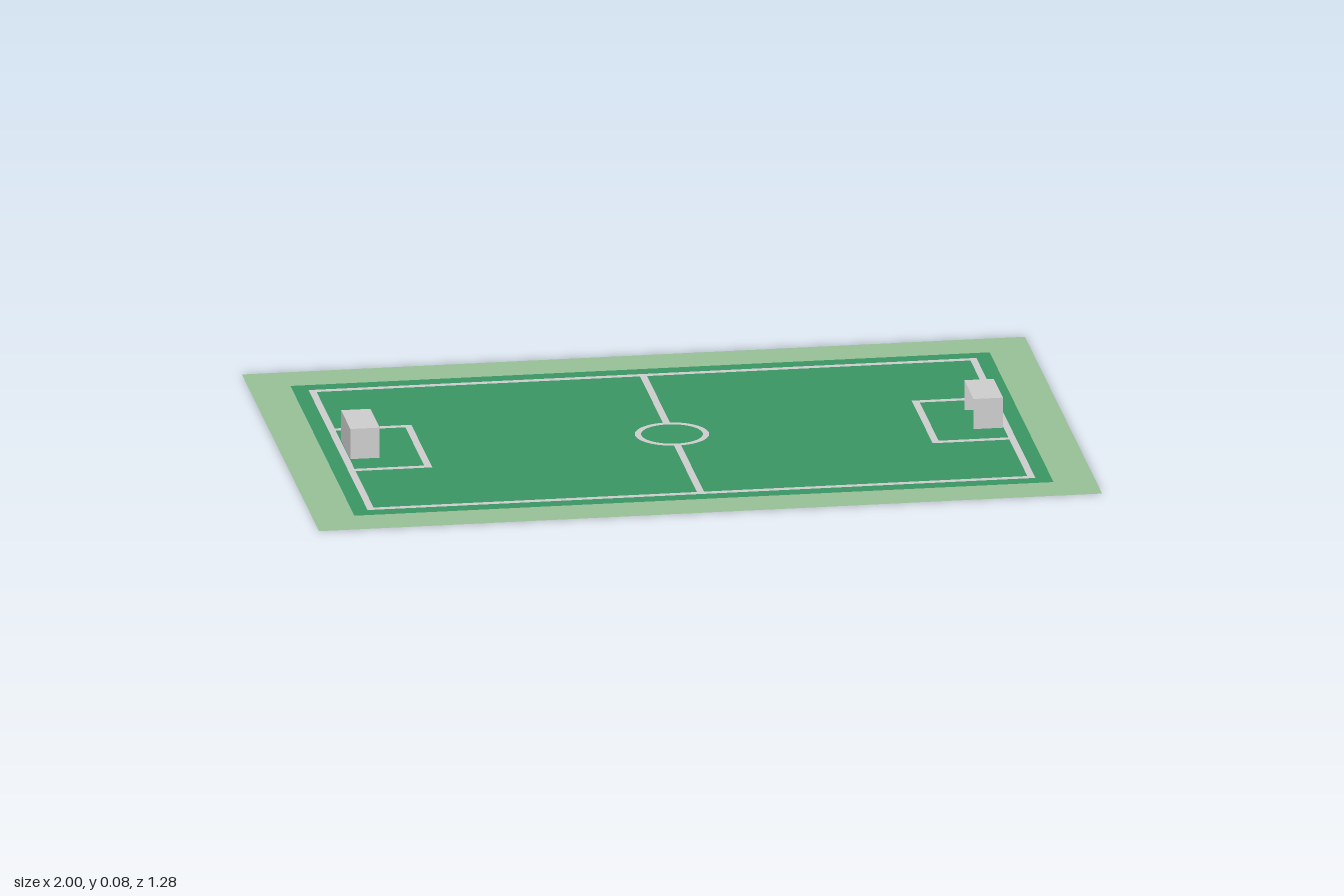
import * as THREE from 'three';

const material = (color) => new THREE.MeshStandardMaterial({ color, side: THREE.DoubleSide });

// Closed outline from [x, z] corners
const outline = (points) => new THREE.Shape(points.map(([x, z]) => new THREE.Vector2(x, z)));

const rect = (x0, x1, z) => outline([[x0, -z], [x1, -z], [x1, z], [x0, z]]);

// Rectangle centred on the pitch, with holes cut out
function frame(x, z, holes) {
  const shape = rect(-x, x, z);
  shape.holes.push(...holes);
  return shape;
}

// Half of the field, cut around the penalty box and the centre circle
function halfField(side) {
  const r = 0.094, line = 0.009, a = Math.acos(line / r);
  const points = [[0.835, -0.472], [0.835, -0.174], [0.639, -0.174], [0.639, 0.174],
    [0.835, 0.174], [0.835, 0.472], [line, 0.472]];
  for (let i = 0; i <= 32; i++) {
    const t = a - (2 * a * i) / 32;
    points.push([r * Math.cos(t), r * Math.sin(t)]);
  }
  points.push([line, -0.472]);
  return outline(points.map(([x, z]) => [side * x, z]));
}

function centreDisc() {
  const shape = new THREE.Shape();
  shape.absarc(0, 0, 0.078, 0, Math.PI * 2);
  return shape;
}

// Goal: two sides, a back and a roof, open towards the centre of the field
function createGoal(mat) {
  const goal = new THREE.Group();
  const d = 0.075, h = 0.08, w = 0.154;
  const panel = (name, width, height, x, y, z, rx, ry) => {
    const mesh = new THREE.Mesh(new THREE.PlaneGeometry(width, height), mat);
    mesh.name = name;
    mesh.position.set(x, y, z);
    mesh.rotation.set(rx, ry, 0);
    goal.add(mesh);
  };
  panel('goalBack', w, h, d / 2, h / 2, 0, 0, Math.PI / 2);
  panel('goalRoof', d, w, 0, h, 0, -Math.PI / 2, 0);
  panel('goalSideFront', d, h, 0, h / 2, w / 2, 0, 0);
  panel('goalSideBack', d, h, 0, h / 2, -w / 2, 0, Math.PI);
  return goal;
}

export function createModel() {
  const model = new THREE.Group();
  model.name = 'footballPitch';

  const addFlat = (name, shapes, color) => {
    const geometry = new THREE.ShapeGeometry(shapes, 48).rotateX(-Math.PI / 2);
    const mesh = new THREE.Mesh(geometry, material(color));
    mesh.name = name;
    model.add(mesh);
  };

  // Areas of grass enclosed by the white lines
  const areas = () => [
    halfField(1), halfField(-1), centreDisc(),
    rect(0.657, 0.835, 0.156), rect(-0.835, -0.657, 0.156),
  ];

  // Ground pieces fit together in one plane
  addFlat('surround', frame(1, 0.64, [rect(-0.893, 0.893, 0.53)]), 0x96be96);
  addFlat('turf', [frame(0.893, 0.53, [rect(-0.853, 0.853, 0.49)]), ...areas()], 0x3a9462);
  addFlat('lineMarkings', frame(0.853, 0.49, areas()), 0xfafafa);

  // Goals at both ends
  const goalMaterial = material(0xcccccc);
  for (const side of [1, -1]) {
    const goal = createGoal(goalMaterial);
    goal.name = side > 0 ? 'leftGoal' : 'rightGoal';
    goal.position.x = side * 0.796;
    goal.rotation.y = side > 0 ? 0 : Math.PI;
    model.add(goal);
  }
  return model;
}
